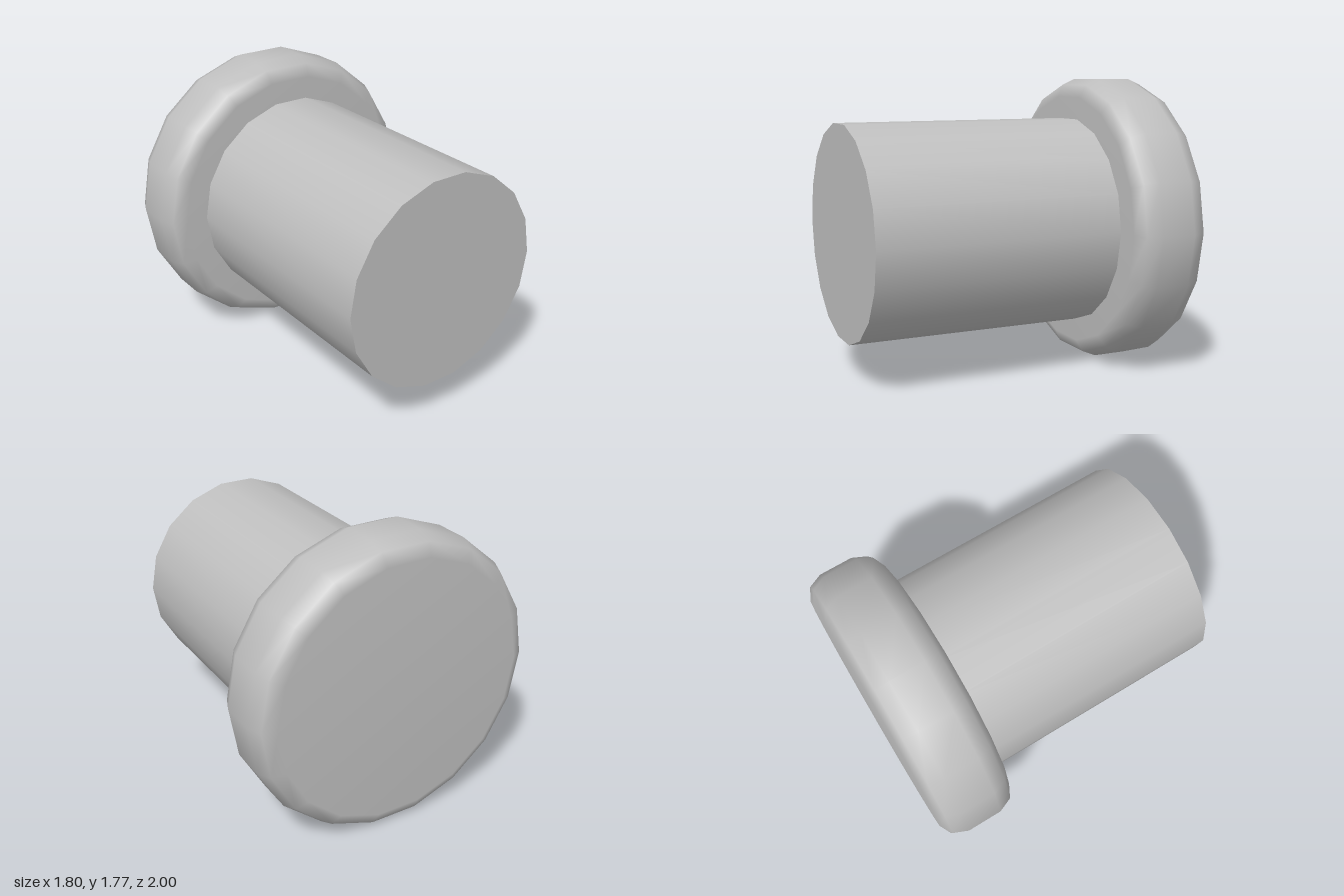
import * as THREE from 'three';

const SIDES = 18;
const START = Math.PI / 18; // puts a corner on the left and right sides

export function createModel() {
  const group = new THREE.Group();
  group.name = 'peg';
  const grey = new THREE.MeshStandardMaterial({ color: 0xbfbfbf });
  grey.name = 'grey';

  const add = (name, geometry, z) => {
    geometry.rotateX(Math.PI / 2); // lay the axis along z
    const mesh = new THREE.Mesh(geometry, grey);
    mesh.name = name;
    mesh.position.z = z;
    group.add(mesh);
  };

  // Rounded disc at the back, profile from back to front
  const profile = [
    [0, -0.235], [0.786, -0.235], [0.863, -0.195], [0.9, -0.107],
    [0.9, 0.107], [0.863, 0.195], [0.786, 0.235], [0, 0.235],
  ].map(([r, a]) => new THREE.Vector2(r, a));
  add('head', new THREE.LatheGeometry(profile, SIDES, START), -0.75);

  // Straight shaft with a flat front end
  const back = -0.55, front = 0.986;
  add('shaft', new THREE.CylinderGeometry(0.648, 0.648, front - back, SIDES, 1, false, START), (front + back) / 2);

  // Slight sideways lean of the whole peg
  group.rotation.y = 0.0195;
  group.position.set(0.0146, 0.886, 0);

  const root = new THREE.Group();
  root.add(group);
  return root;
}
